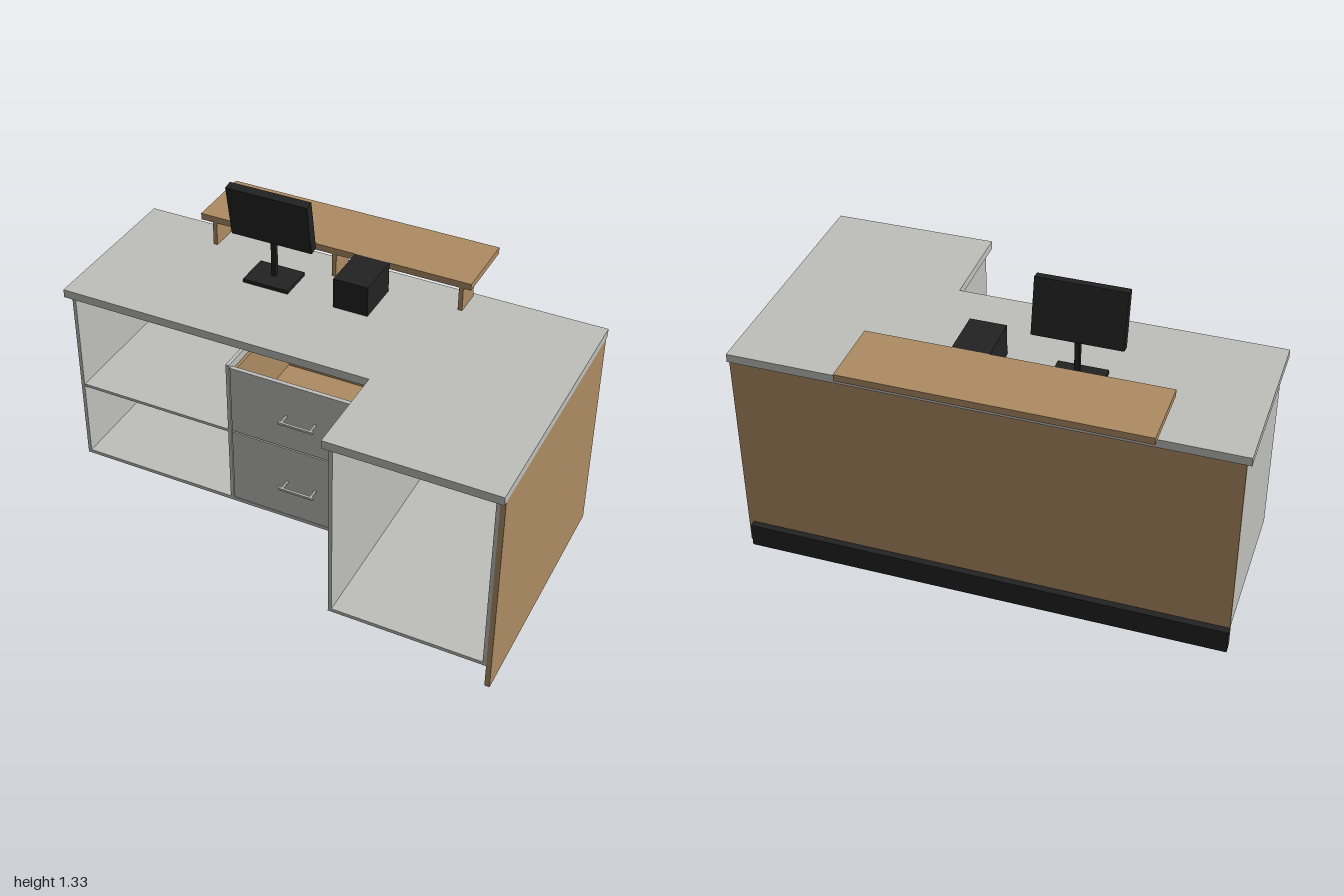
import * as THREE from 'three';

const material = (name, color) => {
  const m = new THREE.MeshStandardMaterial({ color });
  m.name = name;
  return m;
};

export function createModel() {
  const grey = material('light grey laminate', 0xbfc0bb);
  const wood = material('oak wood', 0xad8c64);
  const black = material('matte black', 0x222222);
  const desk = new THREE.Group();
  desk.name = 'receptionDesk';

  const group = (name) => {
    const g = new THREE.Group();
    g.name = name;
    desk.add(g);
    return g;
  };
  // Box given by its minimum and maximum on each axis
  const slab = (parent, name, mat, [x0, x1], [y0, y1], [z0, z1]) => {
    const mesh = new THREE.Mesh(new THREE.BoxGeometry(x1 - x0, y1 - y0, z1 - z0), mat);
    mesh.position.set((x0 + x1) / 2, (y0 + y1) / 2, (z0 + z1) / 2);
    mesh.name = name;
    parent.add(mesh);
    return mesh;
  };

  // L-shaped worktop, drawn in plan with shape y = -z
  const plan = [[-1, 0.465], [-1, -0.225], [0.32, -0.225], [0.32, -0.62], [1, -0.62], [1, 0.465]];
  const topGeometry = new THREE.ExtrudeGeometry(
    new THREE.Shape(plan.map(([x, y]) => new THREE.Vector2(x, y))),
    { depth: 0.035, bevelEnabled: false }
  );
  topGeometry.rotateX(-Math.PI / 2);
  const worktop = new THREE.Mesh(topGeometry, grey);
  worktop.position.y = 0.895;
  worktop.name = 'worktop';
  desk.add(worktop);

  // Outer wooden panels and black skirting
  slab(desk, 'rearPanel', wood, [-0.98, 0.98], [0, 0.895], [-0.447, -0.43]);
  slab(desk, 'endPanel', wood, [0.98, 1], [0, 0.895], [-0.447, 0.602]);
  slab(desk, 'rearSkirting', black, [-0.98, 0.98], [0, 0.1], [-0.475, -0.447]);

  // Main cabinet carcass with open shelves on one side
  const H = [0.1, 0.895];
  const Z = [-0.43, 0.2];
  const main = group('mainCabinet');
  slab(main, 'cabinetFloor', grey, [-0.98, 0.34], [0.1, 0.115], Z);
  slab(main, 'cabinetSide', grey, [-0.98, -0.965], H, Z);
  slab(main, 'cabinetBack', grey, [-0.965, 0.34], [0.115, 0.895], [-0.43, -0.42]);
  slab(main, 'divider', grey, [-0.295, -0.28], [0.115, 0.778], [-0.42, 0.2]);
  slab(main, 'openShelf', grey, [-0.965, -0.295], [0.448, 0.46], [-0.42, 0.197]);

  // Two drawers: grey fronts, open wooden boxes, bar handles
  for (const [y0, y1, handleY] of [[0.12, 0.459, 0.29], [0.465, 0.77, 0.62]]) {
    const drawer = group('drawer');
    slab(drawer, 'drawerFront', grey, [-0.275, 0.336], [y0, y1], [0.185, 0.203]);
    const walls = [y0 + 0.01, y1 - 0.015];
    for (const x of [-0.272, 0.32]) {
      slab(drawer, 'drawerSide', wood, [x, x + 0.012], walls, [-0.27, 0.185]);
    }
    slab(drawer, 'drawerBack', wood, [-0.26, 0.32], walls, [-0.27, -0.258]);
    slab(drawer, 'drawerInnerFront', wood, [-0.26, 0.32], walls, [0.175, 0.185]);
    slab(drawer, 'drawerBottom', wood, [-0.26, 0.32], [y0 + 0.01, y0 + 0.022], [-0.258, 0.175]);
    slab(drawer, 'handleBar', grey, [-0.045, 0.105], [handleY - 0.005, handleY + 0.005], [0.246, 0.256]);
    for (const x of [-0.036, 0.088]) {
      slab(drawer, 'handlePost', grey, [x, x + 0.008], [handleY - 0.004, handleY + 0.004], [0.203, 0.246]);
    }
  }

  // Deep side cabinet under the short leg of the worktop
  const leg = group('sideCabinet');
  slab(leg, 'cabinetFloor', grey, [0.34, 0.98], [0.1, 0.115], [-0.43, 0.6]);
  for (const x of [0.34, 0.965]) {
    slab(leg, 'cabinetSide', grey, [x, x + 0.015], [0.115, 0.895], [-0.43, 0.6]);
  }
  slab(leg, 'cabinetBack', grey, [0.355, 0.965], [0.115, 0.895], [-0.43, -0.42]);
  slab(leg, 'slidingTray', grey, [0.36, 0.948], [0.592, 0.61], [-0.42, 0.13]);

  // Raised visitor counter on three supports
  const counter = group('raisedCounter');
  slab(counter, 'counterTop', wood, [-0.69, 0.487], [1.032, 1.06], [-0.625, -0.332]);
  for (const x of [-0.637, -0.1, 0.438]) {
    slab(counter, 'counterSupport', wood, [x, x + 0.018], [0.93, 1.032], [-0.447, -0.332]);
  }

  // Printer box and tilted monitor
  slab(desk, 'printer', black, [0, 0.146], [0.93, 1.06], [-0.332, -0.135]);
  const monitor = group('monitor');
  slab(monitor, 'monitorBase', black, [-0.395, -0.198], [0.93, 0.945], [-0.285, -0.135]);
  slab(monitor, 'monitorStem', black, [-0.307, -0.287], [0.945, 1.13], [-0.228, -0.208]);
  const screen = slab(monitor, 'monitorScreen', black, [-0.472, -0.122], [1.103, 1.331], [-0.214, -0.176]);
  screen.rotation.x = 0.17;

  return desk;
}
